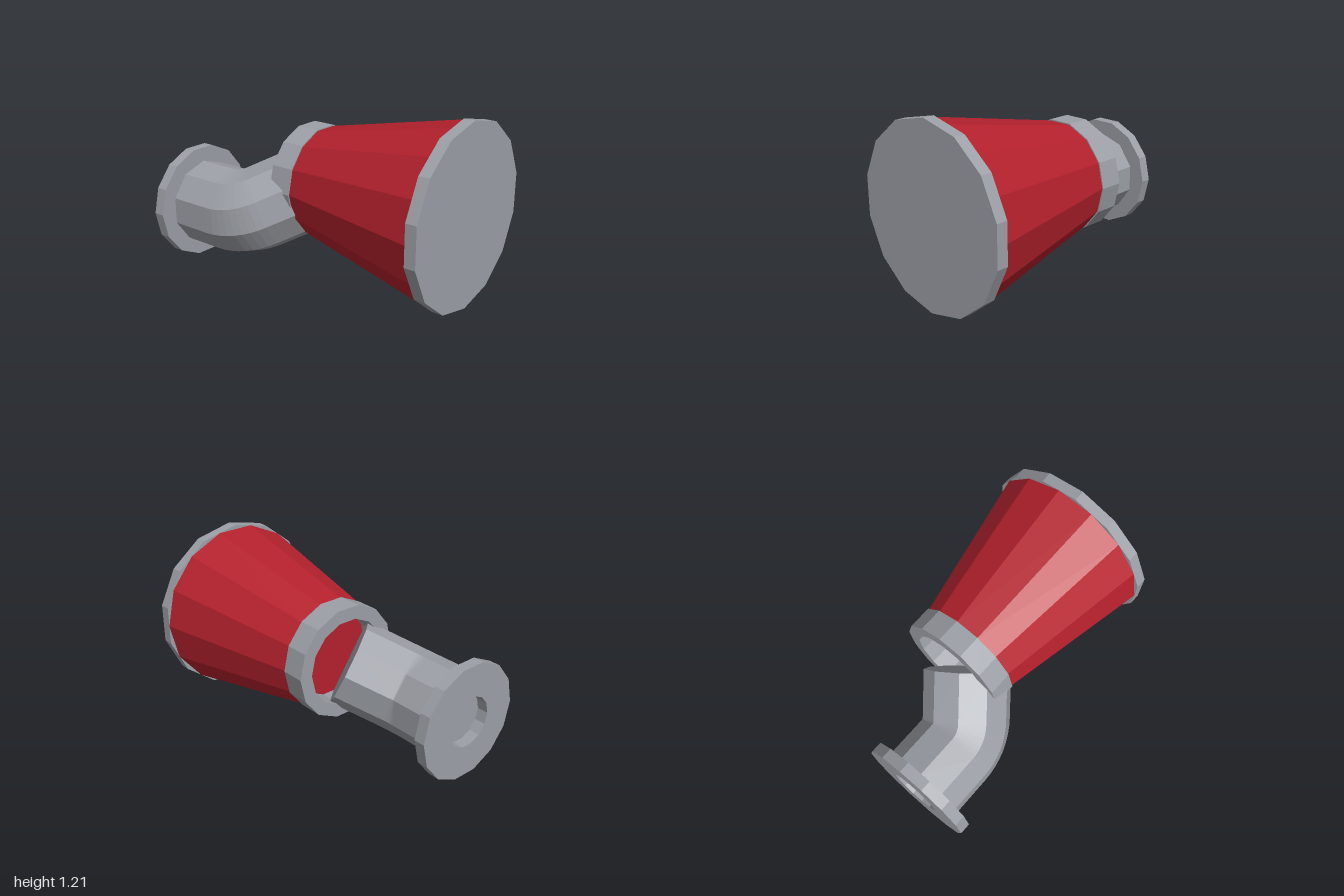
import * as THREE from 'three';

const grey = new THREE.MeshStandardMaterial({ color: 0x9c9fa6 });
grey.name = 'metalGrey';
const red = new THREE.MeshStandardMaterial({ color: 0xb5212d });
red.name = 'bodyRed';

const SIDES = 14;
const BODY = new THREE.Vector2(0.07, 0.618); // axis of the cone
const PIPE = new THREE.Vector2(-0.2625, 0.388); // axis of the flange

// Splits the faces so that every facet is flat
function facetMesh(name, geometry, material) {
  const flat = geometry.index ? geometry.toNonIndexed() : geometry;
  flat.computeVertexNormals();
  const mesh = new THREE.Mesh(flat, material);
  mesh.name = name;
  return mesh;
}

function polygon(radius, sides, start = 0) {
  return Array.from({ length: sides }, (_, i) => {
    const a = start + (i / sides) * Math.PI * 2;
    return new THREE.Vector2(Math.cos(a) * radius, Math.sin(a) * radius);
  });
}

// Frustum along z between two depths
function frustum(name, rBack, rFront, zBack, zFront, turn, material) {
  const g = new THREE.CylinderGeometry(rFront, rBack, zFront - zBack, SIDES);
  g.rotateY(turn).rotateX(Math.PI / 2);
  g.translate(BODY.x, BODY.y, (zBack + zFront) / 2);
  return facetMesh(name, g, material);
}

// Flat ring along z between two depths
function ring(name, center, outer, inner, zBack, zFront) {
  const shape = new THREE.Shape(polygon(outer, SIDES));
  shape.holes.push(new THREE.Path(polygon(inner, SIDES).reverse()));
  const g = new THREE.ExtrudeGeometry(shape, { depth: zFront - zBack, bevelEnabled: false });
  g.translate(center.x, center.y, zBack);
  return facetMesh(name, g, grey);
}

// Ten-sided pipe: straight run, 45 degree elbow, short straight run
function elbowPipe() {
  const radius = 0.29, bendRadius = 0.3, bendStart = -0.63, tail = 0.32, steps = 8, n = 10;
  const toBody = BODY.clone().sub(PIPE).normalize();
  const axis = new THREE.Vector3(-toBody.y, toBody.x, 0);
  const pivot = new THREE.Vector3(toBody.x, toBody.y, 0).multiplyScalar(bendRadius);
  const profile = polygon(radius, n, Math.PI / 2);
  profile.push(new THREE.Vector2(0, 0)); // centre, used by the end caps

  const section = (angle, slide) => profile.map((p) => {
    const along = new THREE.Vector3(0, 0, slide).applyAxisAngle(axis, angle);
    return new THREE.Vector3(p.x, p.y, 0).sub(pivot).applyAxisAngle(axis, angle)
      .add(pivot).add(along).add(new THREE.Vector3(PIPE.x, PIPE.y, bendStart));
  });

  const sections = [section(0, -0.925 - bendStart)];
  for (let s = 0; s <= steps; s++) sections.push(section((s / steps) * Math.PI / 4, 0));
  sections.push(section(Math.PI / 4, tail));

  const points = [];
  const last = sections[sections.length - 1];
  for (let i = 0; i < n; i++) {
    const j = (i + 1) % n;
    for (let s = 0; s < sections.length - 1; s++) {
      const a = sections[s], b = sections[s + 1];
      points.push(a[i], a[j], b[j], a[i], b[j], b[i]);
    }
    points.push(sections[0][n], sections[0][j], sections[0][i]);
    points.push(last[n], last[i], last[j]);
  }
  return facetMesh('elbowPipe', new THREE.BufferGeometry().setFromPoints(points), grey);
}

export function createModel() {
  const model = new THREE.Group();
  model.name = 'pipeReducer';
  model.add(
    frustum('frontPlate', 0.6, 0.6, 0.925, 1, 0, grey),
    frustum('coneBody', 0.372, 0.585, -0.1, 0.925, Math.PI / 2, red),
    ring('rearCollar', BODY, 0.38, 0.29, -0.26, -0.1),
    elbowPipe(),
    ring('rearFlange', PIPE, 0.394, 0.172, -1, -0.925),
  );
  return model;
}
